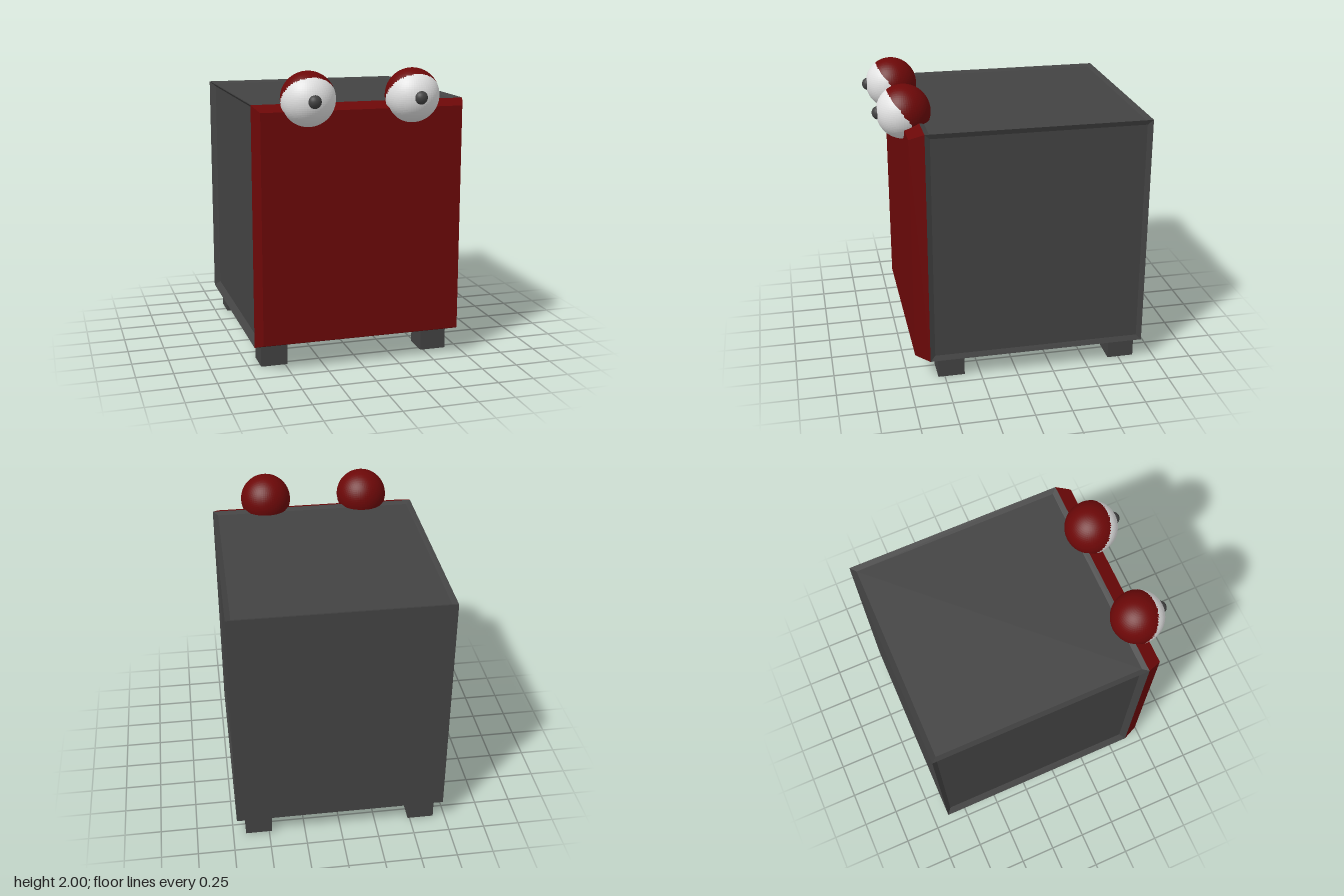
import * as THREE from 'three';

const gray = new THREE.MeshStandardMaterial({ color: 0x434343 });
gray.name = 'dark gray';
const red = new THREE.MeshStandardMaterial({ color: 0x6c0808, flatShading: true });
red.name = 'deep red';
const white = new THREE.MeshStandardMaterial({ color: 0xe2e2e2, flatShading: true });
white.name = 'eye white';

// Rectangle facing +z whose inset middle is pushed out (depth > 0) or in (depth < 0)
function panelGeometry(w, h, inset, depth) {
  const ring = (x, y, z) => [[-x, -y, z], [x, -y, z], [x, y, z], [-x, y, z]];
  const outer = ring(w / 2, h / 2, 0);
  const inner = ring(w / 2 - inset, h / 2 - inset, depth);
  const points = [];
  const quad = (a, b, c, d) => points.push(...a, ...b, ...c, ...a, ...c, ...d);
  quad(...inner);
  for (let i = 0; i < 4; i++) {
    const j = (i + 1) % 4;
    quad(outer[i], outer[j], inner[j], inner[i]);
  }
  const geometry = new THREE.BufferGeometry();
  geometry.setAttribute('position', new THREE.Float32BufferAttribute(points, 3));
  geometry.computeVertexNormals();
  return geometry;
}

// Sphere with its faces sorted into a lid (group 0) and a white (group 1) by a tilted plane
function eyeGeometry(radius, tilt) {
  const geometry = new THREE.SphereGeometry(radius, 64, 40);
  const { position } = geometry.attributes;
  const index = geometry.index.array;
  const parts = [[], []];
  for (let i = 0; i < index.length; i += 3) {
    const corners = [...index.slice(i, i + 3)];
    const side = corners.reduce((sum, k) =>
      sum + position.getY(k) * Math.cos(tilt) - position.getZ(k) * Math.sin(tilt), 0);
    parts[side > 0 ? 0 : 1].push(...corners);
  }
  geometry.setIndex(parts.flat());
  geometry.addGroup(0, parts[0].length, 0);
  geometry.addGroup(parts[0].length, parts[1].length, 1);
  return geometry;
}

export function createModel() {
  const model = new THREE.Group();
  model.name = 'boxCreature';

  const add = (parent, name, geometry, material, x = 0, y = 0, z = 0) => {
    const mesh = new THREE.Mesh(geometry, material);
    mesh.name = name;
    mesh.position.set(x, y, z);
    parent.add(mesh);
    return mesh;
  };

  // Body: slightly sunken top and left, deeper right, flat back and underside, raised red face
  const W = 1.445, H = 1.62, D = 1.495;
  const body = new THREE.Group();
  body.name = 'body';
  body.position.set(0, 0.972, -0.1425);
  model.add(body);
  const inset = 0.035, shallow = -0.015, deep = -0.04, q = Math.PI / 2;
  add(body, 'face', panelGeometry(W, H, 0.04, 0.098), red, 0, 0, D / 2);
  add(body, 'backPanel', panelGeometry(W, H, inset, 0), gray, 0, 0, -D / 2).rotation.y = Math.PI;
  add(body, 'leftPanel', panelGeometry(D, H, inset, shallow), gray, W / 2).rotation.y = q;
  add(body, 'rightPanel', panelGeometry(D, H, inset, deep), gray, -W / 2).rotation.y = -q;
  add(body, 'topPanel', panelGeometry(W, D, inset, shallow), gray, 0, H / 2).rotation.x = -q;
  add(body, 'bottomPanel', panelGeometry(W, D, inset, 0), gray, 0, -H / 2).rotation.x = q;

  // Feet
  const foot = new THREE.BoxGeometry(0.182, 0.164, 0.184);
  for (const [side, x] of [['left', 0.571], ['right', -0.575]]) {
    add(model, side + 'FrontFoot', foot, gray, x, 0.082, 0.453);
    add(model, side + 'BackFoot', foot, gray, x, 0.09, -0.762);
  }

  // Eyes with lids tilted back
  const eyeball = eyeGeometry(0.178, THREE.MathUtils.degToRad(54));
  const pupil = new THREE.SphereGeometry(0.045, 24, 16);
  for (const [side, x, y] of [['left', 0.333, 1.822], ['right', -0.369, 1.819]]) {
    const eye = new THREE.Group();
    eye.name = side + 'Eye';
    eye.position.set(x, y, 0.687);
    model.add(eye);
    add(eye, 'eyeballWithLid', eyeball, [red, white]);
    add(eye, 'pupil', pupil, gray, 0, 0, 0.16);
  }

  return model;
}
